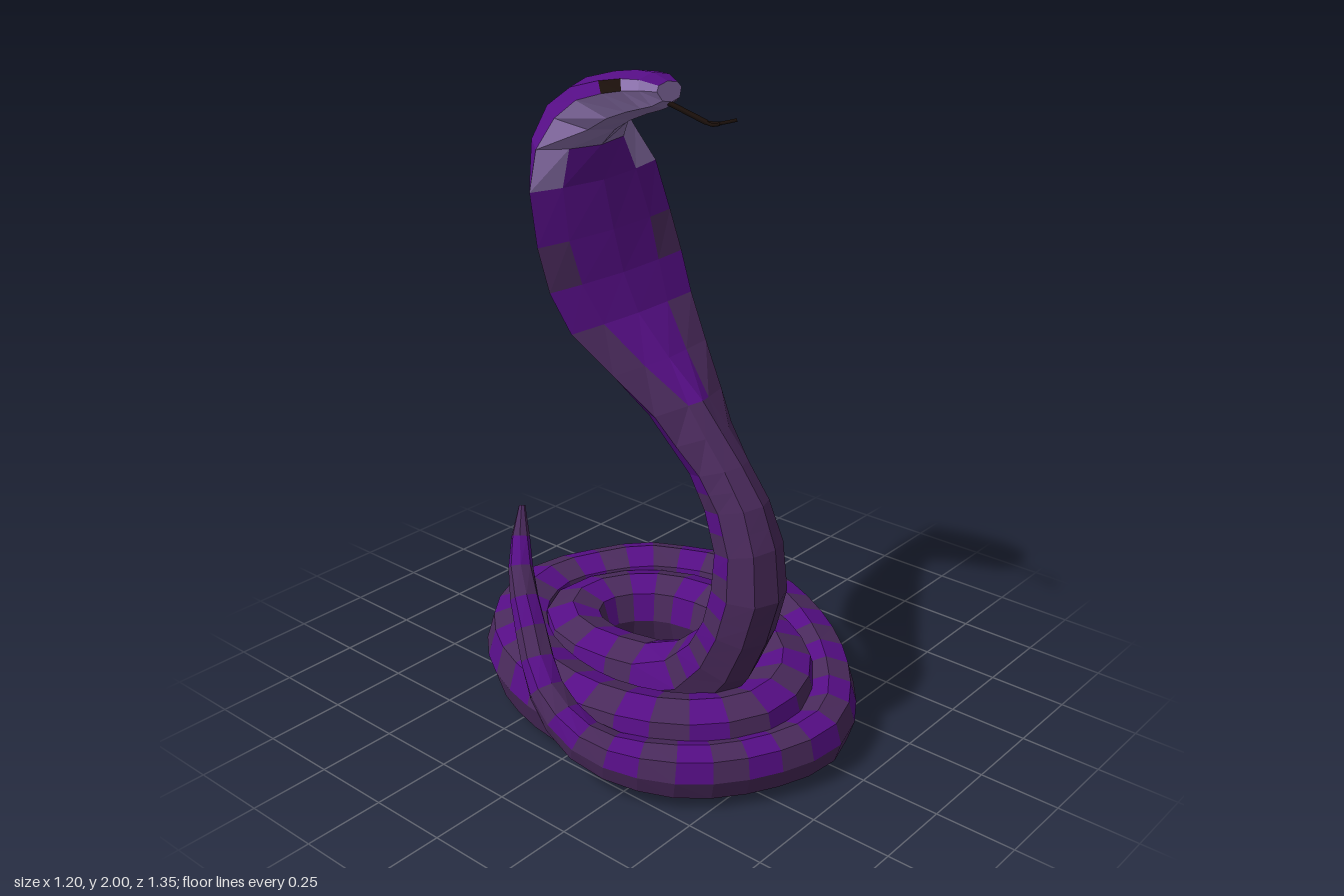
import * as THREE from 'three';

const mat = (name, color) => Object.assign(new THREE.MeshStandardMaterial({ color }), { name });

export function createModel() {
  const model = new THREE.Group();
  model.name = 'cobra';
  const mats = [
    mat('purple scales', 0x560e86),
    mat('mauve scales', 0x4a2a5c),
    mat('lavender scales', 0x8a70aa),
    mat('black', 0x1a0f0a),
  ];
  const [PURPLE, MAUVE, LAVENDER, BLACK] = [0, 1, 2, 3];
  const V = (x, y, z) => new THREE.Vector3(x, y, z);

  // Eight-sided ring: s = sideways half axis, d = dorsal half axis
  const ring = (c, s, d, bellyWidth = 0.75, sideShift = 0) => [
    [1, sideShift], [0.77, 0.74], [0, 1], [-0.77, 0.74],
    [-1, sideShift], [-bellyWidth, -0.74], [0, -1], [bellyWidth, -0.74],
  ].map(([a, b]) => c.clone().addScaledVector(s, a).addScaledVector(d, b));

  // Flat-shaded skin through rings; colourOf(row, face) picks the material
  function skin(name, rings, colourOf, capStart, capEnd) {
    const buckets = mats.map(() => []);
    const put = (m, ...pts) => pts.forEach((p) => buckets[m].push(p.x, p.y, p.z));
    for (let i = 0; i < rings.length - 1; i++) {
      for (let j = 0; j < 8; j++) {
        const k = (j + 1) % 8;
        const a = rings[i][j], b = rings[i][k], c = rings[i + 1][k], d = rings[i + 1][j];
        put(colourOf(i, j), a, b, c, a, c, d);
      }
    }
    const last = rings[rings.length - 1];
    for (let j = 1; j < 7; j++) {
      if (capStart !== undefined) put(capStart, rings[0][0], rings[0][j + 1], rings[0][j]);
      if (capEnd !== undefined) put(capEnd, last[0], last[j], last[j + 1]);
    }
    const geo = new THREE.BufferGeometry();
    let start = 0;
    buckets.forEach((b, m) => {
      if (b.length) geo.addGroup(start, b.length / 3, m);
      start += b.length / 3;
    });
    geo.setAttribute('position', new THREE.Float32BufferAttribute(buckets.flat(), 3));
    geo.computeVertexNormals();
    const mesh = new THREE.Mesh(geo, mats);
    mesh.name = name;
    model.add(mesh);
  }

  // Tapering tail from its raised tip: x, y, z, radius
  const tail = [
    [-0.33, 0.69, -0.31, 0.01], [-0.365, 0.6, -0.285, 0.03],
    [-0.42, 0.5, -0.23, 0.042], [-0.48, 0.37, -0.13, 0.05],
    [-0.54, 0.23, 0, 0.055], [-0.54, 0.14, 0.17, 0.063],
    [-0.43, 0.11, 0.4, 0.078], [-0.22, 0.1, 0.55, 0.08],
    [0, 0.1, 0.59, 0.085], [0.23, 0.11, 0.44, 0.095],
    [0.42, 0.12, 0.17, 0.105], [0.495, 0.125, -0.1, 0.111],
  ];
  // Level coils, spiralling in to the neck: x, z
  const coils = [
    [0.4, -0.35], [0.2, -0.52], [0.03, -0.565], [-0.16, -0.5], [-0.31, -0.34],
    [-0.395, -0.1], [-0.395, 0.12], [-0.3, 0.33], [-0.13, 0.44], [0.08, 0.39],
    [0.23, 0.2], [0.285, 0], [0.25, -0.22], [0.13, -0.35], [0, -0.38],
    [-0.12, -0.31], [-0.17, -0.15], [-0.14, 0.02],
  ].map(([x, z]) => [x, 0.13, z, 0.115]);
  const path = [...tail, ...coils];
  const line = new THREE.CatmullRomCurve3(path.map(([x, y, z]) => V(x, y, z)));
  const size = new THREE.CatmullRomCurve3(path.map((p) => V(p[3], 0, 0)));
  const coilRings = [];
  const steps = Math.round(line.getLength() / 0.095);
  for (let i = 0; i <= steps; i++) {
    const t = line.getUtoTmapping(i / steps);
    const T = line.getTangent(t), r = size.getPoint(t).x;
    const S = V(0, 1, 0).cross(T).normalize();
    const D = T.clone().cross(S);
    coilRings.push(ring(line.getPoint(t), S.multiplyScalar(r * 0.96), D.multiplyScalar(r * 1.04)));
  }

  // Rearing body: belly z, y, back z, y, half width, belly plate width
  const neckRows = [
    [0.3, 0.12, 0.13, 0.29, 0.115, 0.7], [0.4, 0.26, 0.22, 0.37, 0.115, 0.7],
    [0.46, 0.4, 0.27, 0.46, 0.115, 0.7], [0.5, 0.55, 0.29, 0.56, 0.11, 0.7],
    [0.48, 0.71, 0.295, 0.67, 0.1, 0.7], [0.43, 0.83, 0.25, 0.79, 0.092, 0.65],
    [0.35, 0.93, 0.2, 0.89, 0.1, 0.55], [0.2, 1.09, 0.08, 1.05, 0.15, 0.3],
  ];
  const hoodRows = [
    neckRows[7], [0.07, 1.19, -0.02, 1.17, 0.205, 0.45],
    [-0.05, 1.3, -0.11, 1.29, 0.262, 0.53], [-0.11, 1.41, -0.175, 1.41, 0.285, 0.58],
    [-0.15, 1.53, -0.24, 1.53, 0.284, 0.61], [-0.19, 1.67, -0.3, 1.69, 0.267, 0.58],
    [-0.2, 1.77, -0.34, 1.8, 0.208, 0.55],
  ];
  const headRows = [
    hoodRows[6], [-0.15, 1.82, -0.333, 1.895, 0.142, 0.6],
    [-0.09, 1.855, -0.26, 1.955, 0.116, 0.65], [-0.03, 1.88, -0.15, 1.985, 0.11, 0.65],
    [0.015, 1.895, -0.07, 1.998, 0.1, 0.65], [0.04, 1.905, -0.01, 1.998, 0.082, 0.65],
    [0.06, 1.925, 0.045, 1.98, 0.052, 0.7],
  ];
  // The body leans sideways with height; the hood rim curls forward, the jaw sits high
  const frontRing = ([fz, fy, bz, by, w, belly]) => {
    const y = (fy + by) / 2;
    const curl = -0.37 * THREE.MathUtils.smoothstep(y, 0.95, 1.25);
    const shift = curl + 0.57 * THREE.MathUtils.smoothstep(y, 1.7, 1.92);
    return ring(V(0.03 * y - 0.122, y, (fz + bz) / 2), V(w, 0, 0),
      V(0, (by - fy) / 2, (bz - fz) / 2), belly, shift);
  };

  // Coils and raised tail, with cross stripes over the back
  coilRings.push(frontRing(neckRows[0]));
  skin('coilsAndTail', coilRings, (i, j) => (j < 4 && i % 2 ? PURPLE : MAUVE), PURPLE);

  // Neck, with narrow stripes up its back
  const neckRings = neckRows.flatMap((row, i) => {
    const next = neckRows[i + 1];
    return next ? [row, row.map((v, k) => (v + next[k]) / 2)] : [row];
  }).map(frontRing);
  skin('neck', neckRings, (i, j) => (j < 4 && (i % 2 || i > 10) ? PURPLE : MAUVE));

  // Hood: purple back and front shield, banded rim
  const rim = [MAUVE, MAUVE, PURPLE, MAUVE, PURPLE, LAVENDER];
  skin('hood', hoodRows.map(frontRing), (i, j) => (j === 4 || j === 7 ? rim[i] : PURPLE));

  // Head: purple crown, lavender jaw and snout sides, dark eyes
  skin('head', headRows.map(frontRing), (i, j) => {
    if (j === 0 || j === 3) return i === 3 ? BLACK : i > 3 ? LAVENDER : PURPLE;
    return j < 4 ? PURPLE : LAVENDER;
  }, undefined, LAVENDER);

  // Forked tongue
  const tongue = new THREE.Group();
  tongue.name = 'tongue';
  const strand = (name, pts, r) => {
    const curve = new THREE.CatmullRomCurve3(pts.map((p) => V(...p)));
    const mesh = new THREE.Mesh(new THREE.TubeGeometry(curve, 6, r, 5), mats[BLACK]);
    mesh.name = name;
    tongue.add(mesh);
  };
  strand('tongueStem', [[-0.063, 1.925, 0.03], [-0.065, 1.91, 0.09], [-0.068, 1.885, 0.19]], 0.008);
  for (const s of [-1, 1]) {
    strand('tongueFork', [[-0.068, 1.886, 0.185], [-0.068 + s * 0.015, 1.886, 0.22],
      [-0.068 + s * 0.035, 1.898, 0.265]], 0.005);
  }
  model.add(tongue);
  return model;
}
